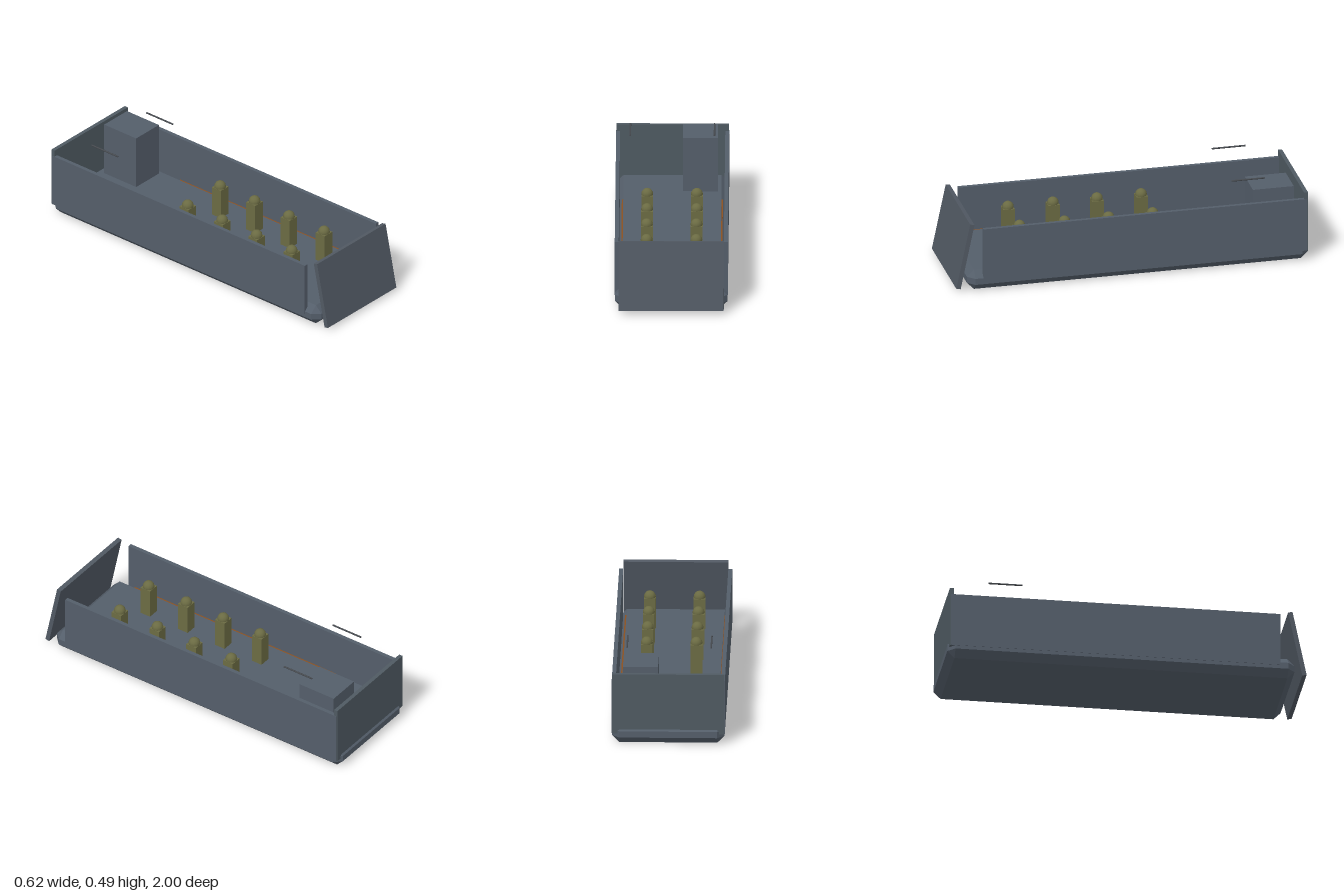
import * as THREE from 'three';
import { ConvexGeometry } from 'three/addons/geometries/ConvexGeometry.js';

const mat = (name, color) => {
  const m = new THREE.MeshStandardMaterial({ color });
  m.name = name;
  return m;
};

// Box with every edge cut at 45 degrees
function chamferedBox(w, h, d, c) {
  const points = [];
  for (const x of [-1, 1]) for (const y of [-1, 1]) for (const z of [-1, 1]) {
    for (let axis = 0; axis < 3; axis++) {
      const cut = [c, c, c];
      cut[axis] = 0;
      points.push(new THREE.Vector3(x * (w / 2 - cut[0]), y * (h / 2 - cut[1]), z * (d / 2 - cut[2])));
    }
  }
  return new ConvexGeometry(points);
}

export function createModel() {
  const steel = mat('steel grey', 0x545e6a);
  const rampGrey = mat('ramp grey', 0x515963);
  const sternGrey = mat('stern grey', 0x4f5a62);
  const olive = mat('olive', 0x6b6b43);
  const gunmetal = mat('gunmetal', 0x474b50);
  const rust = mat('orange brown', 0x8b5020);
  const model = new THREE.Group();
  model.name = 'landingCraft';

  const add = (name, geometry, material, x, y, z, parent = model) => {
    const mesh = new THREE.Mesh(geometry, material);
    mesh.name = name;
    mesh.position.set(x, y, z);
    parent.add(mesh);
    return mesh;
  };
  const box = (w, h, d) => new THREE.BoxGeometry(w, h, d);

  // Hull base and the floor plate that peeks out along its upper bevels
  add('hull', chamferedBox(0.62, 0.116, 1.935, 0.04), steel, 0, 0.058, -0.0325);
  add('floorPlate', box(0.558, 0.012, 1.36), rust, 0, 0.109, 0.12);

  // Side walls and guns
  for (const s of [-1, 1]) {
    const side = s > 0 ? 'left' : 'right';
    add(side + 'Wall', box(0.022, 0.309, 1.835), steel, s * 0.301, 0.2145, -0.0675);
    const gun = add(side + 'GunBarrel', new THREE.CylinderGeometry(0.005, 0.005, 0.19, 6), gunmetal, s * 0.232, 0.485, -0.67);
    gun.rotation.x = Math.PI / 2;
  }

  // Stern wall, bow ramp leaning inward, control station
  add('sternWall', box(0.62, 0.347, 0.022), sternGrey, 0, 0.2335, -0.98);
  add('bowRamp', box(0.58, 0.386, 0.025), rampGrey, 0, 0.205, 0.948).rotation.x = -0.205;
  add('controlStation', box(0.193, 0.317, 0.232), steel, 0.154, 0.2685, -0.808);

  // Two rows of passengers
  for (const x of [-0.137, 0.137]) {
    for (const z of [-0.15, 0.1, 0.35, 0.605]) {
      const passenger = new THREE.Group();
      passenger.name = 'passenger';
      passenger.position.set(x, 0.1, z);
      model.add(passenger);
      add('body', box(0.065, 0.19, 0.065), olive, 0, 0.095, 0, passenger);
      add('head', new THREE.SphereGeometry(0.033, 12, 8), olive, 0, 0.195, 0, passenger);
    }
  }
  return model;
}
